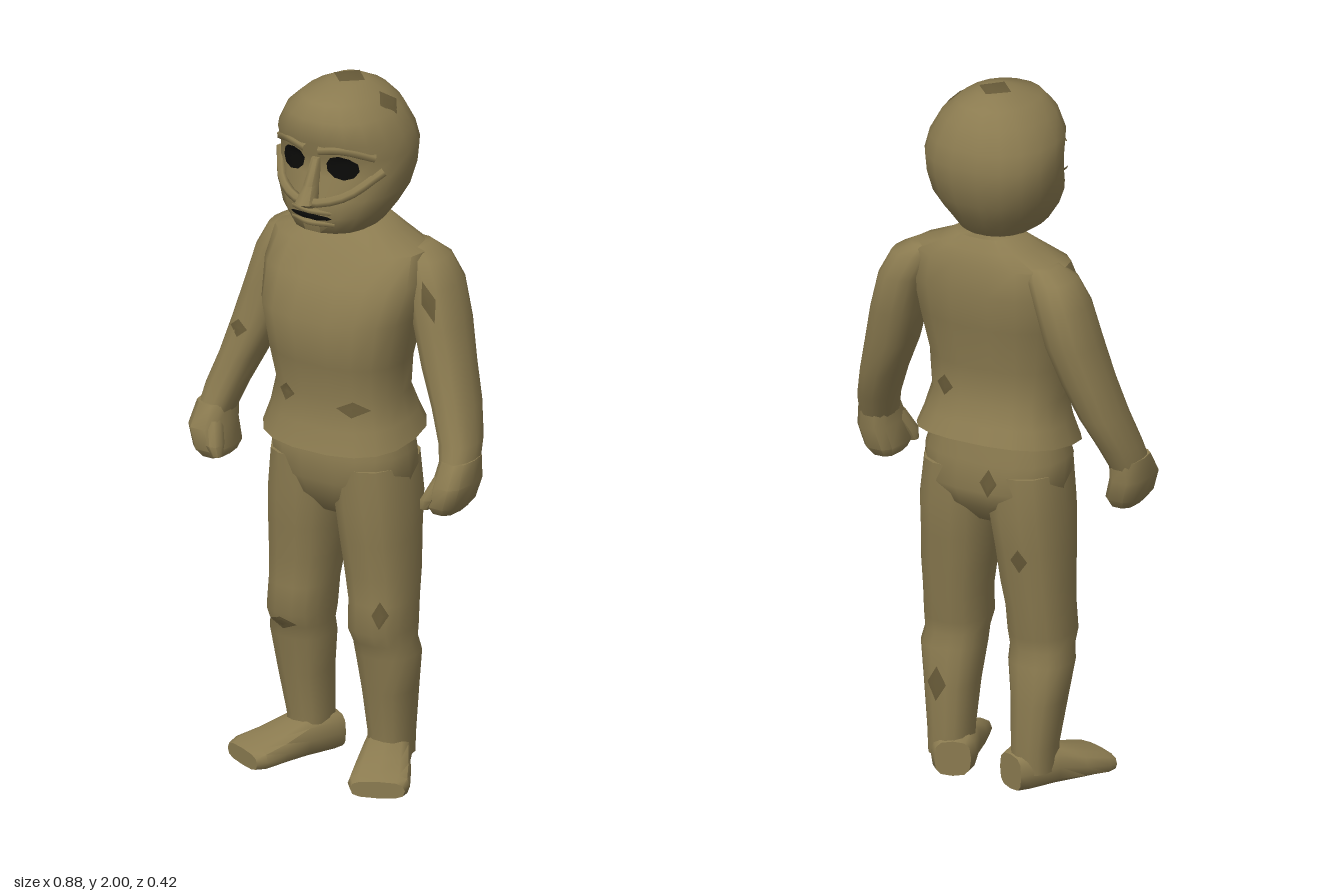
import * as THREE from 'three';
import { toCreasedNormals } from 'three/addons/utils/BufferGeometryUtils.js';

const olive = new THREE.MeshStandardMaterial({ color: 0x8b7b50 });
olive.name = 'olive';
const black = new THREE.MeshStandardMaterial({ color: 0x0a0a08, side: THREE.DoubleSide });
black.name = 'socketBlack';
const shade = new THREE.MeshStandardMaterial({ color: 0x675a38, side: THREE.DoubleSide });
shade.name = 'tearOlive';

// Skin rounded cross-sections [x, y, z, rx, rz, tilt], listed from bottom to top
function loft(rings, n = 14, p = 0.8) {
  const pos = [], idx = [];
  const bend = (v) => Math.sign(v) * Math.abs(v) ** p;
  for (const [x, y, z, rx, rz, tilt = 0] of rings) {
    for (let j = 0; j < n; j++) {
      const a = (j / n) * Math.PI * 2, c = bend(Math.cos(a)), s = bend(Math.sin(a));
      pos.push(x + rx * c, y + tilt * s, z + rz * s);
    }
  }
  const last = (rings.length - 1) * n, lo = rings.length * n, hi = lo + 1;
  pos.push(...rings[0].slice(0, 3), ...rings.at(-1).slice(0, 3));
  for (let j = 0; j < n; j++) {
    const k = (j + 1) % n;
    for (let r = 0; r < last; r += n) {
      idx.push(r + j, r + n + j, r + k, r + k, r + n + j, r + n + k);
    }
    idx.push(lo, j, k, hi, last + k, last + j);
  }
  const g = new THREE.BufferGeometry();
  g.setAttribute('position', new THREE.Float32BufferAttribute(pos, 3));
  g.setIndex(idx);
  return toCreasedNormals(g, 0.9);
}

// Rows of [y, halfWidth, zFront, zBack, tilt] become centred rings
const body = (rows) => rows.map(([y, rx, f, b, t]) => [0, y, (f + b) / 2, rx, (f - b) / 2, t]);

export function createModel() {
  const group = new THREE.Group();
  const add = (name, geo, mat = olive) => {
    const m = new THREE.Mesh(geo, mat);
    m.name = name;
    group.add(m);
    return m;
  };
  const tube = (name, pts, r) => add(name, new THREE.TubeGeometry(
    new THREE.CatmullRomCurve3(pts.map((p) => new THREE.Vector3(...p))), 14, r, 6));

  // Head with a recessed eye line and jutting chin
  const head = add('head', loft(body([
    [1.575, 0.06, 0.06, -0.09], [1.61, 0.115, 0.15, -0.125], [1.66, 0.15, 0.165, -0.16],
    [1.71, 0.175, 0.16, -0.19], [1.77, 0.187, 0.135, -0.205], [1.82, 0.19, 0.13, -0.21],
    [1.87, 0.182, 0.158, -0.2], [1.93, 0.15, 0.15, -0.175], [1.97, 0.105, 0.12, -0.14],
    [1.995, 0.05, 0.03, -0.09], [2, 0.02, -0.01, -0.05],
  ]), 18, 0.9));

  // Shirt, flared at the hem
  const shirt = add('shirt', loft(body([
    [0.995, 0.225, 0.165, -0.19, -0.025], [1.05, 0.205, 0.145, -0.17, -0.015],
    [1.12, 0.188, 0.13, -0.145], [1.22, 0.2, 0.155, -0.145], [1.35, 0.225, 0.17, -0.175],
    [1.45, 0.24, 0.12, -0.185], [1.53, 0.23, 0.065, -0.175], [1.57, 0.14, 0.03, -0.16],
    [1.6, 0.09, 0, -0.14],
  ]), 18));

  const pelvis = add('pelvis', loft(body([
    [0.76, 0.07, 0.06, -0.09], [0.82, 0.17, 0.11, -0.15], [0.87, 0.205, 0.125, -0.165],
    [0.95, 0.205, 0.135, -0.155], [1.03, 0.18, 0.11, -0.14],
  ]), 18));

  const limbs = [];
  for (const s of [1, -1]) {
    const side = s > 0 ? 'left' : 'right';
    const mirror = (rows) => rows.map(([x, ...rest]) => [x * s, ...rest]);

    // Sleeve and forearm
    limbs.push(add(side + 'Arm', loft(mirror([
      [0.39, 0.96, 0.02, 0.045, 0.065], [0.375, 1.03, -0.01, 0.052, 0.07],
      [0.342, 1.12, -0.04, 0.057, 0.08], [0.305, 1.22, -0.06, 0.067, 0.082],
      [0.272, 1.33, -0.08, 0.07, 0.09], [0.243, 1.44, -0.09, 0.068, 0.088],
      [0.21, 1.51, -0.09, 0.065, 0.07], [0.18, 1.54, -0.09, 0.04, 0.045],
    ]))));

    // Half-closed hand with thumb
    add(side + 'Hand', loft(mirror([
      [0.37, 0.845, 0.04, 0.035, 0.06], [0.375, 0.87, 0.04, 0.05, 0.08],
      [0.392, 0.93, 0.035, 0.05, 0.085], [0.39, 0.99, 0.015, 0.045, 0.065],
    ]), 10, 0.7));
    add(side + 'Thumb', loft(mirror([
      [0.335, 0.86, 0.105, 0.014, 0.015], [0.345, 0.89, 0.1, 0.022, 0.028],
      [0.37, 0.95, 0.07, 0.022, 0.028],
    ]), 8));

    // Trouser leg, gathered below the knee
    limbs.push(add(side + 'Leg', loft(mirror([
      [0.13, 0.05, -0.045, 0.058, 0.066], [0.13, 0.12, -0.045, 0.06, 0.07],
      [0.135, 0.25, -0.03, 0.072, 0.08], [0.136, 0.36, -0.018, 0.087, 0.086],
      [0.132, 0.4, -0.008, 0.083, 0.086], [0.13, 0.44, -0.002, 0.088, 0.1],
      [0.128, 0.52, -0.01, 0.088, 0.102], [0.122, 0.6, -0.015, 0.095, 0.11],
      [0.115, 0.7, -0.015, 0.1, 0.122], [0.108, 0.8, -0.018, 0.105, 0.135],
      [0.1, 0.92, -0.015, 0.1, 0.135],
    ]))));

    // Wide flat foot, turned outward
    const foot = add(side + 'Foot', loft([
      [0, -0.07, -0.05, 0.05, 0.05], [0, -0.04, -0.055, 0.062, 0.055],
      [0, 0.05, -0.055, 0.066, 0.055], [0, 0.13, -0.041, 0.078, 0.041],
      [0, 0.2, -0.032, 0.085, 0.032], [0, 0.228, -0.027, 0.075, 0.024],
    ], 12, 0.65).rotateX(Math.PI / 2));
    foot.position.set(0.12 * s, 0, -0.045);
    foot.rotation.y = 0.44 * s;

    // Heavy brow
    tube(side + 'Brow', [[0.02 * s, 1.85, 0.148], [0.08 * s, 1.858, 0.132], [0.15 * s, 1.83, 0.07]], 0.014);
  }

  // Cheek ridge, nose and lips
  tube('cheekRidge', [[-0.165, 1.785, 0.05], [-0.095, 1.725, 0.14], [0, 1.705, 0.18],
    [0.095, 1.725, 0.14], [0.165, 1.785, 0.05]], 0.014);
  add('nose', loft([
    [0, 1.69, 0.165, 0.022, 0.02], [0, 1.705, 0.175, 0.03, 0.035],
    [0, 1.75, 0.15, 0.018, 0.03], [0, 1.82, 0.125, 0.012, 0.02],
  ], 8));
  for (const [name, y, w] of [['upperLip', 1.676, 0.075], ['lowerLip', 1.643, 0.065]]) {
    tube(name, [[-w, y - 0.004, 0.137], [0, y, 0.165], [w, y - 0.004, 0.137]], 0.009);
  }

  // Thin plate draped over a mesh, cast along one axis
  const ray = new THREE.Raycaster();
  const views = {
    front: (x, y) => [[x, y, 2], [0, 0, -1]],
    back: (x, y) => [[x, y, -2], [0, 0, 1]],
    top: (x, z) => [[x, 3, z], [0, -1, 0]],
  };
  const drape = (name, mesh, view, cx, cy, w, h, n, mat, turn = 0) => {
    const pos = [], idx = [], steps = 3;
    for (let r = 0; r <= steps; r++) {
      for (let j = 0; j < n; j++) {
        const a = (j / n) * Math.PI * 2, u = (Math.cos(a) * w * r) / steps, v = (Math.sin(a) * h * r) / steps;
        const [o, d] = views[view](cx + u * Math.cos(turn) - v * Math.sin(turn), cy + u * Math.sin(turn) + v * Math.cos(turn));
        const dir = new THREE.Vector3(...d);
        ray.set(new THREE.Vector3(...o), dir);
        const hit = ray.intersectObject(mesh)[0];
        if (!hit) return;
        pos.push(...hit.point.addScaledVector(dir, -0.004).toArray());
        const k = (j + 1) % n, b = r * n;
        if (r < steps) idx.push(b + j, b + n + j, b + k, b + k, b + n + j, b + n + k);
      }
    }
    const g = new THREE.BufferGeometry();
    g.setAttribute('position', new THREE.Float32BufferAttribute(pos, 3));
    g.setIndex(idx);
    g.computeVertexNormals();
    add(name, g, mat);
  };

  // Eye sockets and mouth
  for (const s of [1, -1]) drape('eyeSocket', head, 'front', 0.078 * s, 1.802, 0.044, 0.034, 10, black, -0.2 * s);
  drape('mouth', head, 'front', 0, 1.66, 0.066, 0.009, 10, black);

  // Ragged tears
  const [leftArm, leftLeg, rightArm, rightLeg] = limbs;
  const tears = [
    [head, 'top', 0, -0.035, 0.05, 0.05], [head, 'top', 0.125, -0.035, 0.028, 0.04],
    [shirt, 'front', 0.11, 1.1, 0.045, 0.022], [shirt, 'front', -0.1, 1.11, 0.03, 0.025],
    [shirt, 'back', 0.1, 1.15, 0.03, 0.03], [leftArm, 'front', 0.275, 1.41, 0.02, 0.06, 0.4],
    [rightArm, 'front', -0.32, 1.21, 0.03, 0.025], [rightLeg, 'front', -0.14, 0.41, 0.045, 0.02],
    [leftLeg, 'front', 0.175, 0.5, 0.02, 0.04], [leftLeg, 'back', 0.14, 0.26, 0.03, 0.05],
    [pelvis, 'back', -0.05, 0.9, 0.025, 0.04], [rightLeg, 'back', -0.13, 0.68, 0.025, 0.035],
  ];
  for (const [mesh, view, x, y, w, h, turn] of tears) drape('tear', mesh, view, x, y, w, h, 4, shade, turn);

  return group;
}
